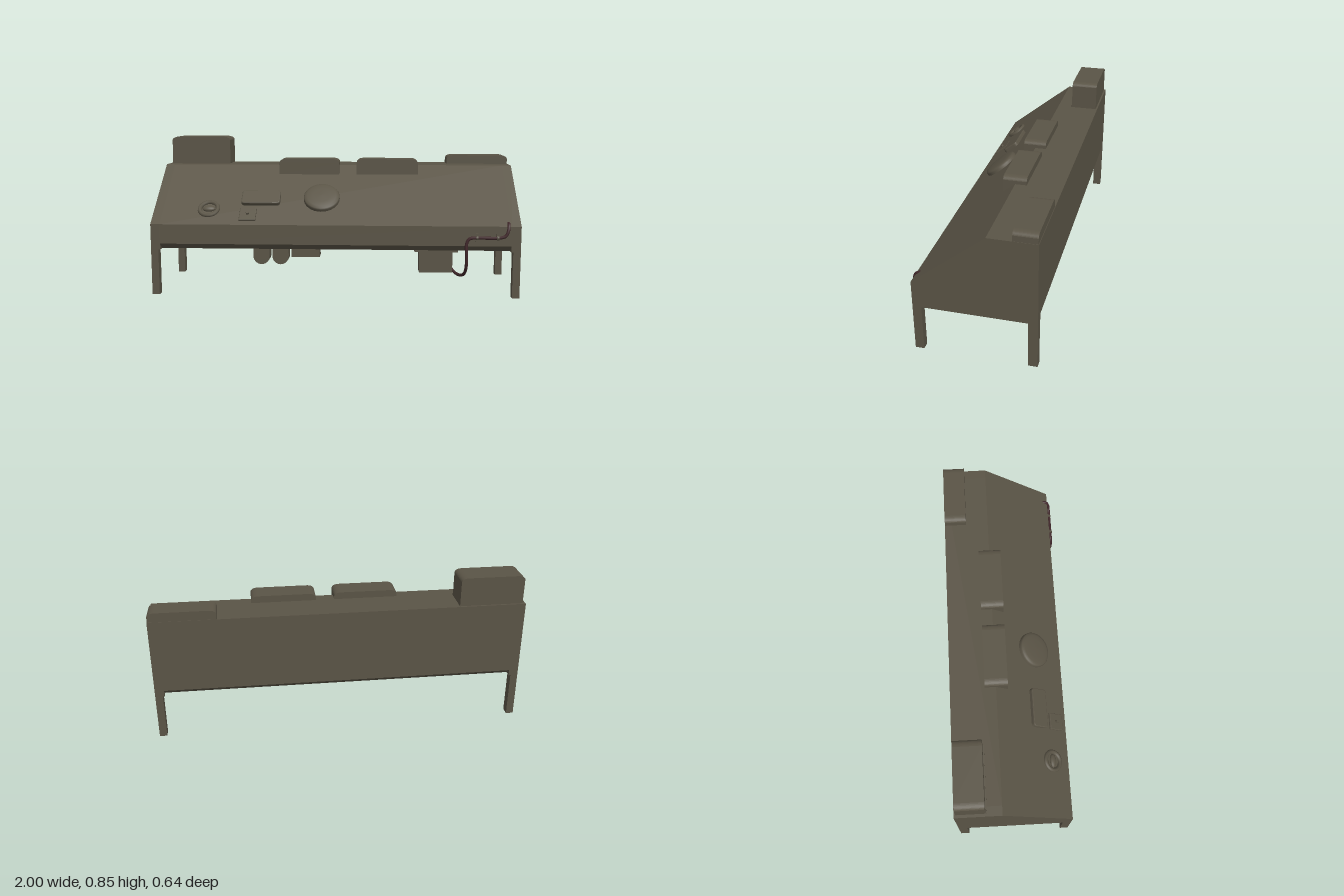
import * as THREE from 'three';

const bodyMat = new THREE.MeshStandardMaterial({ color: 0x5a5446 });
bodyMat.name = 'dull olive metal';
const hoseMat = new THREE.MeshStandardMaterial({ color: 0x40272a });
hoseMat.name = 'dark red rubber';

export function createModel() {
  const model = new THREE.Group();
  model.name = 'controlConsole';

  const add = (name, geo, x = 0, y = 0, z = 0, parent = model, mat = bodyMat) => {
    const m = new THREE.Mesh(geo, mat);
    m.name = name;
    m.position.set(x, y, z);
    parent.add(m);
    return m;
  };
  // box given by its limits
  const box = (name, x0, x1, y0, y1, z0, z1, mat = bodyMat) =>
    add(name, new THREE.BoxGeometry(x1 - x0, y1 - y0, z1 - z0),
      (x0 + x1) / 2, (y0 + y1) / 2, (z0 + z1) / 2, model, mat);
  // side profile of [z, y] points stretched across x
  const across = (name, pts, x0, x1) => {
    const shape = new THREE.Shape(pts.map(p => new THREE.Vector2(p[0], p[1])));
    const geo = new THREE.ExtrudeGeometry(shape, { depth: x1 - x0, bevelEnabled: false });
    geo.rotateY(-Math.PI / 2);
    return add(name, geo, x1);
  };
  // front shape stretched along z
  const along = (name, shape, z0, z1, x = 0, y = 0) =>
    add(name, new THREE.ExtrudeGeometry(shape, { depth: z1 - z0, bevelEnabled: false, curveSegments: 8 }), x, y, z0);

  // Desk body: undercut between the two full end panels
  const top = [[0.30, 0.39], [-0.075, 0.687], [-0.32, 0.687]];
  across('deskBody', [[0.262, 0.252], [0.30, 0.283], ...top, [-0.32, 0.283], [-0.285, 0.252]], -0.95, 0.95);
  for (const s of [-1, 1]) {
    across(s > 0 ? 'leftEndPanel' : 'rightEndPanel', [[0.30, 0.25], ...top, [-0.32, 0.25]],
      s > 0 ? 0.95 : -1, s > 0 ? 1 : -0.95);
    const [a, b] = s > 0 ? [0.96, 1] : [-1, -0.96];
    box('frontLeg', a, b, 0, 0.25, 0.255, 0.30);
    box('backLeg', a, b, 0, 0.25, -0.32, -0.273);
  }

  // Housings on top, with softened upper ends
  const housing = (name, x0, x1, y0, y1, z0, z1) => {
    const s = new THREE.Shape();
    const r = 0.035, h = 0.02;
    s.moveTo(x0, y0);
    s.lineTo(x1, y0);
    s.lineTo(x1, y1 - h);
    s.quadraticCurveTo(x1 - 0.006, y1 - 0.002, x1 - r, y1);
    s.lineTo(x0 + r, y1);
    s.quadraticCurveTo(x0 + 0.006, y1 - 0.002, x0, y1 - h);
    along(name, s, z0, z1);
  };
  housing('tallHousing', -0.985, -0.64, 0.67, 0.845, -0.31, -0.16);
  box('tallHousingBase', -0.985, -0.64, 0.68, 0.70, -0.31, -0.153);
  housing('lowHousing', 0.645, 0.998, 0.675, 0.737, -0.318, -0.198);
  housing('displayHousing', -0.33, 0.015, 0.635, 0.725, -0.135, -0.012);
  housing('displayHousing', 0.115, 0.465, 0.635, 0.725, -0.135, -0.012);

  // Controls on the slope; local y points away from the panel
  const slope = Math.atan2(0.297, 0.375);
  const onSlope = (name, x, y) => {
    const g = new THREE.Group();
    g.name = name;
    g.position.set(x, y, 0.30 - (y - 0.39) * 0.375 / 0.297);
    g.rotation.x = slope;
    model.add(g);
    return g;
  };
  const lathe = pts => new THREE.LatheGeometry(pts.map(p => new THREE.Vector2(p[0], p[1])), 32);

  const scope = onSlope('roundScope', -0.075, 0.515);
  add('scopeDome', lathe([[0.1, -0.01], [0.1, 0.014], [0.095, 0.022], [0.08, 0.027], [0.05, 0.03], [0, 0.031]]), 0, 0, 0, scope);

  const dial = onSlope('dial', -0.695, 0.462);
  const ring = new THREE.TorusGeometry(0.05, 0.012, 8, 28);
  ring.rotateX(Math.PI / 2);
  add('dialRing', ring, 0, 0.003, 0, dial);
  const knob = new THREE.SphereGeometry(1, 20, 10);
  knob.scale(0.037, 0.014, 0.02);
  add('dialKnob', knob, 0, 0.004, 0, dial);

  const plate = (parent, name, w, d, h, r) => {
    const s = new THREE.Shape();
    const a = w / 2, b = d / 2;
    s.moveTo(-a + r, -b);
    s.lineTo(a - r, -b);
    s.quadraticCurveTo(a, -b, a, -b + r);
    s.lineTo(a, b - r);
    s.quadraticCurveTo(a, b, a - r, b);
    s.lineTo(-a + r, b);
    s.quadraticCurveTo(-a, b, -a, b - r);
    s.lineTo(-a, -b + r);
    s.quadraticCurveTo(-a, -b, -a + r, -b);
    const geo = new THREE.ExtrudeGeometry(s, {
      depth: h, curveSegments: 5, bevelThickness: 0.005, bevelSize: 0.005, bevelOffset: -0.005, bevelSegments: 2,
    });
    geo.rotateX(-Math.PI / 2);
    add(name, geo, 0, 0, 0, parent);
  };
  plate(onSlope('screen', -0.412, 0.512), 'screenPlate', 0.215, 0.1, 0.017, 0.02);
  const sw = onSlope('switch', -0.475, 0.436);
  plate(sw, 'switchPlate', 0.092, 0.092, 0.006, 0.004);
  add('switchButton', new THREE.CylinderGeometry(0.009, 0.009, 0.02, 12), 0, 0.012, 0, sw);

  // Fittings under the desk
  const tab = new THREE.Shape();
  tab.moveTo(-0.045, 0.09);
  tab.lineTo(-0.045, 0);
  tab.absarc(0, 0, 0.045, Math.PI, Math.PI * 2, false);
  tab.lineTo(0.045, 0.09);
  for (const x of [-0.4, -0.295]) along('roundFitting', tab, 0.18, 0.255, x, 0.21);
  box('smallUnderBox', -0.235, -0.08, 0.207, 0.26, 0.17, 0.255);
  box('junctionBox', 0.462, 0.642, 0.128, 0.252, 0.17, 0.255);
  box('junctionBoxLid', 0.437, 0.672, 0.24, 0.253, 0.168, 0.257);

  // Hose from the junction box, round the front and onto the panel
  const path = new THREE.CatmullRomCurve3([
    [0.6, 0.21, 0.17], [0.61, 0.207, 0.135], [0.63, 0.165, 0.112], [0.655, 0.118, 0.15],
    [0.685, 0.104, 0.2], [0.705, 0.12, 0.25], [0.712, 0.17, 0.295], [0.71, 0.24, 0.311],
    [0.71, 0.3, 0.311], [0.725, 0.325, 0.311], [0.765, 0.33, 0.311], [0.875, 0.33, 0.311],
    [0.915, 0.34, 0.311], [0.93, 0.37, 0.307], [0.934, 0.398, 0.293], [0.935, 0.406, 0.26],
  ].map(p => new THREE.Vector3(...p)), false, 'centripetal');
  add('hose', new THREE.TubeGeometry(path, 90, 0.0085, 8), 0, 0, 0, model, hoseMat);
  for (const x of [0.765, 0.875]) {
    const clamp = new THREE.CylinderGeometry(0.012, 0.012, 0.012, 12);
    clamp.rotateZ(Math.PI / 2);
    add('hoseClamp', clamp, x, 0.33, 0.31);
    box('clampFoot', x - 0.006, x + 0.006, 0.308, 0.352, 0.298, 0.306);
  }
  return model;
}
